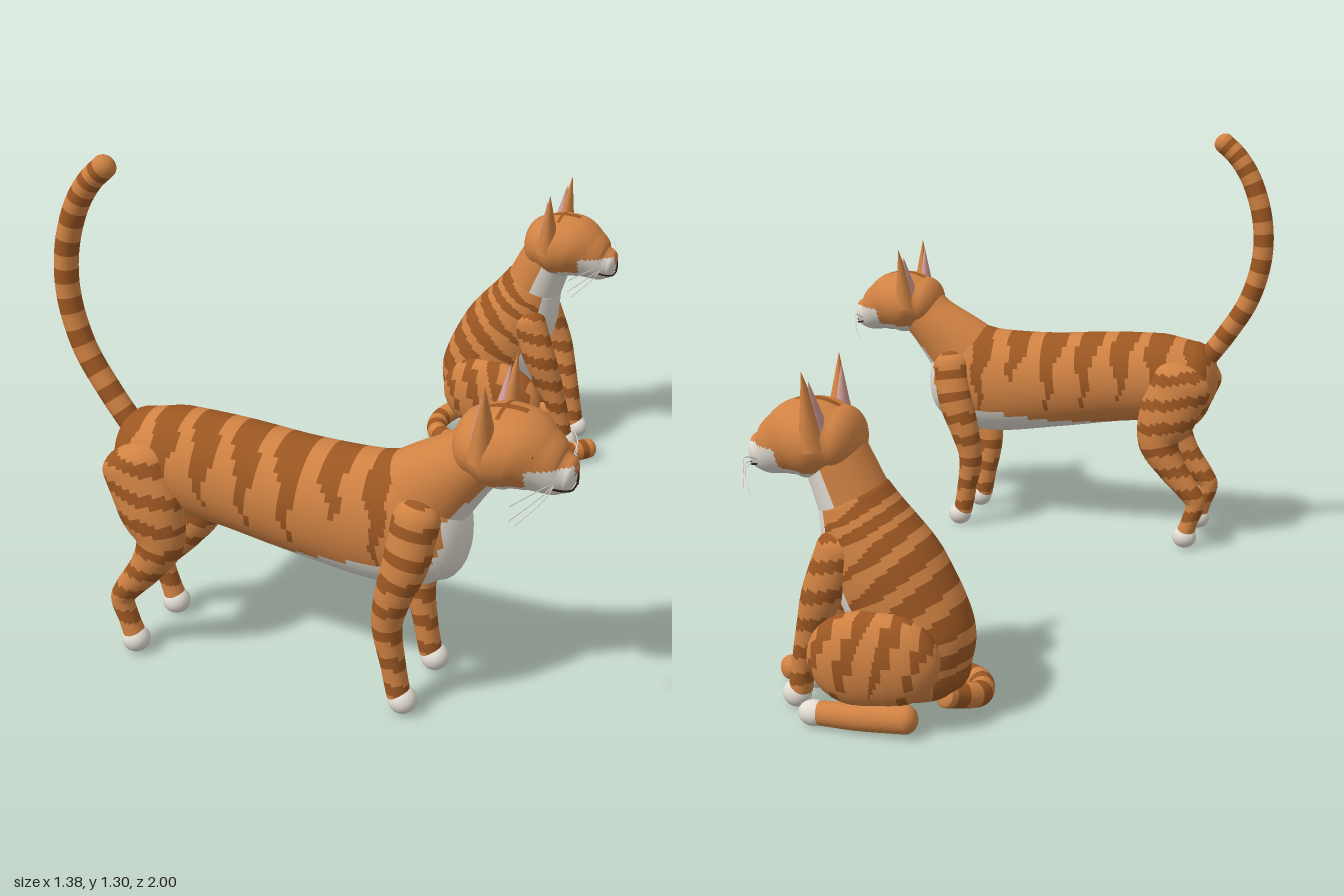
import * as THREE from 'three';

const V = (x, y, z) => new THREE.Vector3(x, y, z);
const colours = {
  orangeFur: 0xd08243, stripeFur: 0x9c5722, whiteFur: 0xe2ddd3, earPink: 0xcf9a94,
  nosePink: 0xb86a5c, darkLine: 0x2a1c14, eyeGold: 0xc79a3a,
};
const mats = Object.entries(colours).map(([name, color]) => {
  const m = new THREE.MeshStandardMaterial({ color });
  m.name = name;
  return m;
});
const [ORANGE, STRIPE, WHITE, PINK, NOSE, DARK, GOLD] = mats.keys();

// Smooth rounded skin through stations [x, y, z, inPlaneRadius, sideRadius].
// paint(p, t, belly) picks a material; belly is 1 on the underside, -1 on the back.
function loft(name, stations, caps, paint, { rings = 40, seg = 32, ref = V(0, 0, 1) } = {}) {
  const path = new THREE.CatmullRomCurve3(stations.map(s => V(s[0], s[1], s[2])));
  const radii = new THREE.CatmullRomCurve3(stations.map(s => V(s[3], s[4], 0)));
  const rows = [];
  const capSteps = 8;
  for (let i = 0; i <= capSteps; i++) rows.push([0, -Math.PI / 2 * (1 - i / capSteps)]);
  for (let i = 1; i <= rings; i++) rows.push([i / rings, 0]);
  for (let i = 1; i <= capSteps; i++) rows.push([1, Math.PI / 2 * i / capSteps]);
  const pts = [];
  for (const [t, bend] of rows) {
    const tan = path.getTangent(t);
    const side = ref.clone().addScaledVector(tan, -ref.dot(tan)).normalize();
    const up = tan.clone().cross(side);
    const centre = path.getPoint(t).addScaledVector(tan, Math.sin(bend) * (bend < 0 ? caps[0] : caps[1]));
    const r = radii.getPoint(t).multiplyScalar(Math.max(Math.cos(bend), 0.002));
    for (let j = 0; j < seg; j++) {
      const a = j / seg * Math.PI * 2;
      pts.push(centre.clone().addScaledVector(up, Math.cos(a) * r.x).addScaledVector(side, Math.sin(a) * r.y));
    }
  }
  const faces = mats.map(() => []);
  for (let i = 0; i < rows.length - 1; i++) {
    for (let j = 0; j < seg; j++) {
      const k = (j + 1) % seg;
      const A = i * seg + j, B = A + seg, C = i * seg + k, D = C + seg;
      const mid = pts[A].clone().add(pts[D]).multiplyScalar(0.5);
      const t = (rows[i][0] + rows[i + 1][0]) / 2;
      faces[paint(mid, t, Math.cos((j + 0.5) / seg * Math.PI * 2))].push(A, B, C, B, D, C);
    }
  }
  const geo = new THREE.BufferGeometry().setFromPoints(pts);
  geo.setIndex(faces.flat());
  let start = 0;
  faces.forEach((f, m) => {
    if (f.length) geo.addGroup(start, f.length, m);
    start += f.length;
  });
  geo.computeVertexNormals();
  const mesh = new THREE.Mesh(geo, mats);
  mesh.name = name;
  return mesh;
}

function ball(name, mat, pos, size) {
  const mesh = new THREE.Mesh(new THREE.SphereGeometry(1, 24, 16), mats[mat]);
  mesh.name = name;
  mesh.position.set(...pos);
  mesh.scale.set(...size);
  return mesh;
}

function strand(name, mat, points, r) {
  const curve = new THREE.CatmullRomCurve3(points.map(p => V(...p)));
  const mesh = new THREE.Mesh(new THREE.TubeGeometry(curve, 12, r, 6), mats[mat]);
  mesh.name = name;
  return mesh;
}

// Repeating bands; each one tapers as fade goes from 1 to 0
const fract = v => v - Math.floor(v);
const band = (v, period, fade = 1, share = 0.27) => Math.abs(fract(v / period) - 0.5) < share * fade;
const fadeFrom = (lo, hi, v) => THREE.MathUtils.clamp((v - lo) / (hi - lo), 0, 1);
const legPaint = p => (band(p.y + p.x * 0.15, 0.075, 1, 0.22) ? STRIPE : ORANGE);
const tailPaint = (p, t) => (band(t, 1 / 11, 1, 0.25) ? STRIPE : ORANGE);

function headPaint(p) {
  const z = Math.abs(p.z);
  if (p.x > 0.585 && p.y < 0.7 && (z > 0.018 || p.y < 0.675)) return WHITE;
  if (p.y < 0.65 && p.x > 0.48) return WHITE;
  const crown = p.y > 0.77 && p.x > 0.45;
  if (crown && (z < 0.009 && p.x < 0.57 || Math.abs(p.x - 0.51) < 0.007 && z < 0.06)) return STRIPE;
  return ORANGE;
}

function makeHead() {
  const head = new THREE.Group();
  head.name = 'head';
  head.add(loft('skull', [
    [0.45, 0.717, 0, 0.083, 0.103], [0.5, 0.717, 0, 0.098, 0.125], [0.55, 0.713, 0, 0.098, 0.115],
    [0.6, 0.693, 0, 0.08, 0.086], [0.64, 0.673, 0, 0.06, 0.064], [0.665, 0.668, 0, 0.046, 0.047],
  ], [0.06, 0.022], headPaint, { rings: 44, seg: 64 }));
  head.add(ball('nose', NOSE, [0.682, 0.686, 0], [0.009, 0.008, 0.013]));
  head.add(strand('lipCleft', DARK, [[0.688, 0.68, 0], [0.689, 0.665, 0], [0.687, 0.648, 0]], 0.0025));
  for (const s of [-1, 1]) {
    // Ears with a pink lining on the inner rear side
    for (const [name, mat, k, shift] of [['ear', ORANGE, 1, 0], ['earLining', PINK, 0.85, 0.011]]) {
      const ear = new THREE.Mesh(new THREE.ConeGeometry(1, 1, 20), mats[mat]);
      ear.name = name;
      ear.scale.set(0.036 * k, 0.19 * k, 0.052 * k);
      ear.rotation.set(s * 0.19, 0, -0.08);
      ear.position.set(0.492 - shift, 0.812 - shift, s * (0.095 - shift));
      head.add(ear);
    }
    head.add(strand('mouth', DARK,
      [[0.687, 0.648, 0], [0.682, 0.64, s * 0.02], [0.668, 0.643, s * 0.04], [0.645, 0.652, s * 0.058]], 0.0025));
    // Whiskers
    for (const [y, z] of [[0.68, 0.228], [0.645, 0.23], [0.615, 0.195]]) {
      head.add(strand('whisker', WHITE,
        [[0.65, 0.662, s * 0.05], [0.645, 0.672 + (y - 0.65) * 0.5, s * 0.13], [0.6, y, s * z]], 0.0014));
    }
  }
  // One open eye, one winking
  head.add(ball('eye', GOLD, [0.599, 0.736, -0.062], [0.014, 0.016, 0.02]));
  head.add(ball('pupil', DARK, [0.608, 0.737, -0.066], [0.008, 0.012, 0.009]));
  head.add(ball('eyelid', ORANGE, [0.599, 0.736, 0.062], [0.014, 0.014, 0.02]));
  head.add(strand('closedLid', DARK, [[0.613, 0.736, 0.046], [0.614, 0.731, 0.062], [0.602, 0.735, 0.083]], 0.0025));
  return head;
}

function standingCat() {
  const cat = new THREE.Group();
  cat.name = 'standingCat';
  const bib = p => p.y < p.x + 0.13 && Math.abs(p.z) < 0.09;
  cat.add(loft('body', [
    [-0.46, 0.535, 0, 0.112, 0.1], [-0.36, 0.527, 0, 0.138, 0.118], [-0.2, 0.515, 0, 0.145, 0.12],
    [0, 0.489, 0, 0.154, 0.125], [0.2, 0.474, 0, 0.17, 0.12], [0.28, 0.482, 0, 0.174, 0.115], [0.34, 0.49, 0, 0.155, 0.105],
  ], [0.07, 0.085], p => {
    if (p.x > -0.3 && p.y < 0.372 + 0.08 * Math.max(0, p.x)) return WHITE;
    if (p.x > 0.33 && bib(p)) return WHITE;
    const k = Math.floor((p.x + 0.65) / 0.117);
    const low = 0.45 + 0.05 * Math.sin(k * 2.4);
    const v = p.x + 0.65 + 0.008 * Math.sin(p.y * 45 + k);
    return p.x < 0.34 && band(v, 0.117, fadeFrom(low - 0.03, 0.62, p.y), 0.32) ? STRIPE : ORANGE;
  }, { rings: 84, seg: 48 }));
  cat.add(loft('neck', [
    [0.28, 0.53, 0, 0.13, 0.1], [0.34, 0.585, 0, 0.112, 0.095], [0.43, 0.665, 0, 0.083, 0.09], [0.47, 0.705, 0, 0.08, 0.085],
  ], [0.02, 0.02], p => (p.y < p.x + 0.14 ? WHITE : ORANGE), { seg: 48 }));
  cat.add(makeHead());
  for (const s of [-1, 1]) {
    cat.add(loft('frontLeg', [
      [0.325, 0.53, s * 0.09, 0.06, 0.05], [0.305, 0.42, s * 0.11, 0.057, 0.046], [0.272, 0.32, s * 0.115, 0.046, 0.04],
      [0.255, 0.24, s * 0.11, 0.038, 0.036], [0.27, 0.12, s * 0.106, 0.031, 0.031], [0.282, 0.05, s * 0.106, 0.03, 0.03],
    ], [0.05, 0.01], legPaint));
    cat.add(ball('frontPaw', WHITE, [0.293, 0.036, s * 0.106], [0.037, 0.035, 0.036]));
    cat.add(loft('hindLeg', [
      [-0.435, 0.53, s * 0.092, 0.095, 0.058], [-0.395, 0.43, s * 0.1, 0.092, 0.06], [-0.37, 0.34, s * 0.105, 0.066, 0.05],
      [-0.41, 0.26, s * 0.105, 0.046, 0.042], [-0.475, 0.18, s * 0.105, 0.034, 0.034], [-0.492, 0.15, s * 0.105, 0.03, 0.03],
      [-0.476, 0.09, s * 0.105, 0.026, 0.028], [-0.463, 0.05, s * 0.105, 0.028, 0.03],
    ], [0.06, 0.01], legPaint, { rings: 56 }));
    cat.add(ball('hindPaw', WHITE, [-0.46, 0.036, s * 0.105], [0.038, 0.035, 0.036]));
  }
  cat.add(loft('tail', [
    [-0.49, 0.59], [-0.555, 0.68], [-0.62, 0.79], [-0.655, 0.92], [-0.652, 1.04], [-0.615, 1.16], [-0.57, 1.23], [-0.525, 1.272],
  ].map(([x, y]) => [x, y, 0, 0.031, 0.031]), [0.01, 0.025], tailPaint, { rings: 88, seg: 16 }));
  return cat;
}

function sittingCat() {
  const cat = new THREE.Group();
  cat.name = 'sittingCat';
  cat.add(loft('body', [
    [-0.11, 0.12, 0, 0.125, 0.11], [-0.095, 0.22, 0, 0.15, 0.122], [-0.035, 0.35, 0, 0.147, 0.125],
    [0.025, 0.46, 0, 0.122, 0.115], [0.06, 0.54, 0, 0.095, 0.095],
  ], [0.08, 0.04], (p, t, belly) => {
    if (belly > 0.62 && p.y > 0.14) return WHITE;
    const fade = fadeFrom(-0.75, 0.2, -belly + 0.25 * Math.sin(Math.floor((t + 0.07) * 7) * 2.4));
    return band(t + 0.06 * belly, 1 / 7, fade, 0.3) ? STRIPE : ORANGE;
  }, { rings: 70, seg: 48 }));
  cat.add(loft('neck', [
    [0.045, 0.5, 0, 0.095, 0.095], [0.075, 0.57, 0, 0.088, 0.092], [0.115, 0.66, 0, 0.08, 0.088],
  ], [0.02, 0.02], (p, t, belly) => (belly > 0.1 ? WHITE : ORANGE), { seg: 48 }));
  const head = makeHead();
  head.position.set(-0.355, -0.03, 0);
  cat.add(head);
  for (const s of [-1, 1]) {
    cat.add(loft('frontLeg', [
      [0.075, 0.43, s * 0.078, 0.055, 0.045], [0.115, 0.32, s * 0.085, 0.052, 0.042], [0.15, 0.22, s * 0.072, 0.04, 0.037],
      [0.178, 0.12, s * 0.063, 0.031, 0.031], [0.19, 0.05, s * 0.06, 0.03, 0.03],
    ], [0.05, 0.01], legPaint));
    cat.add(ball('frontPaw', WHITE, [0.2, 0.036, s * 0.06], [0.037, 0.035, 0.034]));
    cat.add(loft('haunch', [[-0.07, 0.185, s * 0.125, 0.118, 0.062], [0, 0.18, s * 0.13, 0.12, 0.062]], [0.13, 0.135],
      p => (band(p.x + p.y * 0.35 + 0.3, 0.085, fadeFrom(0.05, 0.22, p.y + 0.05 * Math.sin(p.x * 50)), 0.25) ? STRIPE : ORANGE),
      { rings: 24, seg: 40 }));
    cat.add(loft('hindFoot', [[-0.12, 0.045, s * 0.14, 0.036, 0.034], [0, 0.037, s * 0.147, 0.034, 0.032], [0.1, 0.034, s * 0.15, 0.03, 0.03]],
      [0.03, 0.01], () => ORANGE, { rings: 12 }));
    cat.add(ball('hindPaw', WHITE, [0.115, 0.033, s * 0.15], [0.04, 0.032, 0.033]));
  }
  // Tail curled forward along the ground
  cat.add(loft('tail', [
    [-0.18, 0.07, -0.03], [-0.235, 0.04, 0.07], [-0.2, 0.034, 0.165], [-0.1, 0.033, 0.207], [0.03, 0.033, 0.217],
    [0.14, 0.033, 0.2], [0.235, 0.033, 0.145], [0.285, 0.033, 0.085],
  ].map(p => [...p, 0.032, 0.032]), [0.01, 0.025], tailPaint, { rings: 88, seg: 16, ref: V(0, 1, 0) }));
  return cat;
}

export function createModel() {
  const model = new THREE.Group();
  model.name = 'twoTabbyCats';
  const standing = standingCat(), sitting = sittingCat();
  standing.position.z = 0.768;
  sitting.position.z = -0.768;
  model.add(standing, sitting);
  return model;
}
